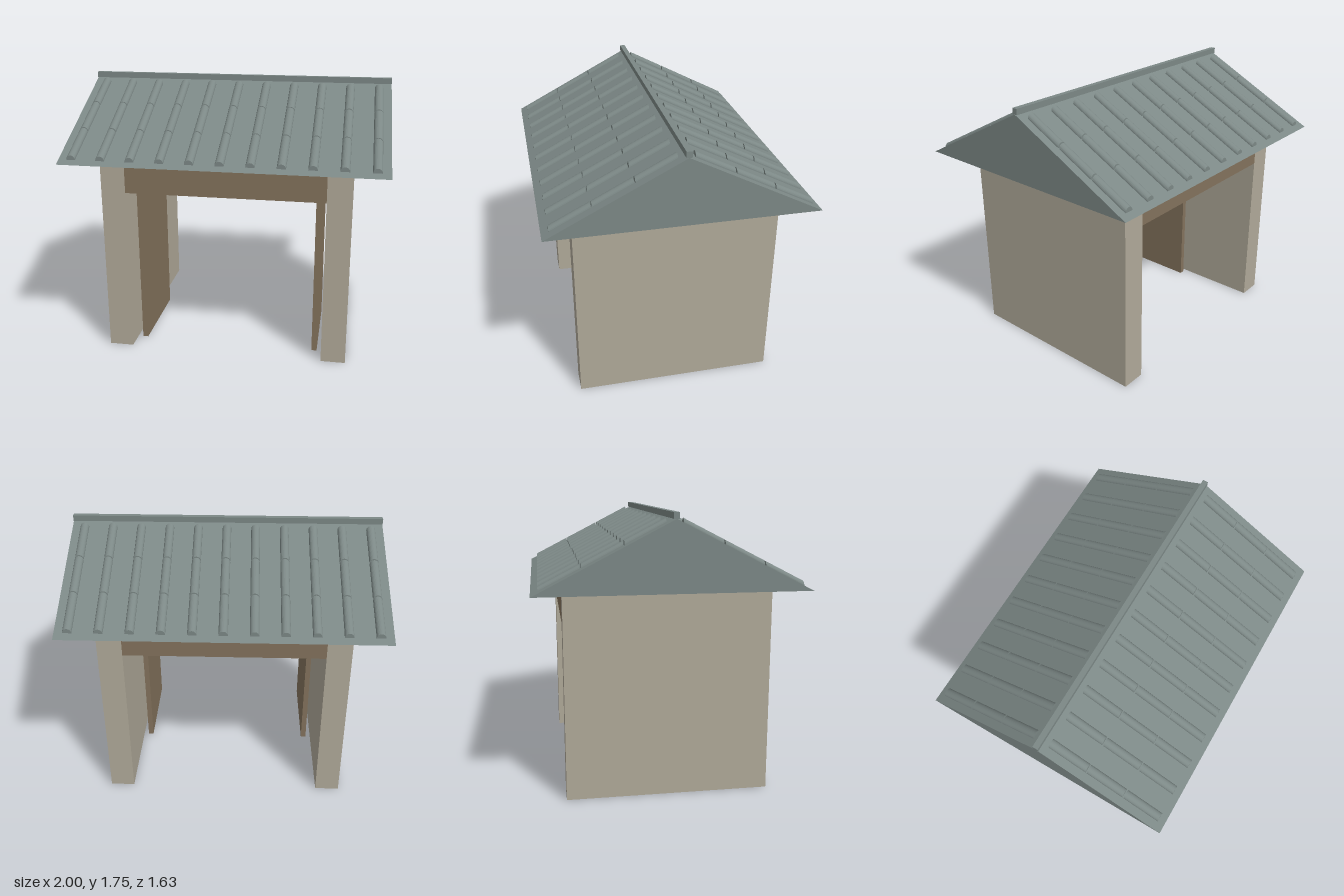
import * as THREE from 'three';

const EAVE = 1.297, APEX = 1.715, HALF_DEPTH = 0.813;
const SLOPE = (APEX - EAVE) / HALF_DEPTH;

const material = (name, color) => {
  const m = new THREE.MeshStandardMaterial({ color });
  m.name = name;
  return m;
};

// Box given by its minimum and maximum corners
function box(name, mat, [x0, y0, z0], [x1, y1, z1]) {
  const mesh = new THREE.Mesh(new THREE.BoxGeometry(x1 - x0, y1 - y0, z1 - z0), mat);
  mesh.position.set((x0 + x1) / 2, (y0 + y1) / 2, (z0 + z1) / 2);
  mesh.name = name;
  return mesh;
}

// Half-round tile, sheared to follow the roof slope with upright ends
function tileGeometry(length) {
  const shape = new THREE.Shape();
  shape.absarc(0, 0, 0.028, 0, Math.PI, false);
  const geo = new THREE.ExtrudeGeometry(shape, { depth: length, bevelEnabled: false, curveSegments: 6 });
  const p = geo.attributes.position;
  for (let i = 0; i < p.count; i++) p.setY(i, p.getY(i) - p.getZ(i) * SLOPE);
  geo.computeVertexNormals();
  return geo;
}

export function createModel() {
  const group = new THREE.Group();
  group.name = 'gatehouse';
  const plaster = material('plaster', 0xb0a999);
  const wood = material('wood', 0x83725c);
  const slate = material('slate', 0x7c8886);

  // Side walls and the open doors standing inside them
  for (const s of [1, -1]) {
    const side = s > 0 ? 'left' : 'right';
    const span = (a, b) => (s > 0 ? [a, b] : [-b, -a]);
    const [w0, w1] = span(0.633, 0.79);
    group.add(box(side + 'Wall', plaster, [w0, 0, -0.633], [w1, EAVE, 0.633]));
    const [d0, d1] = span(0.565, 0.6);
    group.add(box(side + 'Door', wood, [d0, 0, -0.08], [d1, 1.055, 0.505]));
  }

  // Lintels over both openings
  group.add(box('frontLintel', wood, [-0.633, 1.08, 0.476], [0.633, EAVE, 0.633]));
  group.add(box('backLintel', wood, [-0.633, 1.08, -0.633], [0.633, EAVE, -0.476]));

  // Solid gable roof
  const gable = new THREE.Shape();
  gable.moveTo(-HALF_DEPTH, EAVE);
  gable.lineTo(HALF_DEPTH, EAVE);
  gable.lineTo(0, APEX);
  const roofGeo = new THREE.ExtrudeGeometry(gable, { depth: 2, bevelEnabled: false });
  roofGeo.translate(0, 0, -1);
  roofGeo.rotateY(Math.PI / 2);
  const roof = new THREE.Mesh(roofGeo, slate);
  roof.name = 'roof';
  group.add(roof);

  // Ridge cap
  group.add(box('ridgeCap', slate, [-1, APEX, -0.017], [1, 1.752, 0.017]));

  // Rows of tiles, three to a row on each slope
  const tileGeo = tileGeometry(0.235);
  for (const facing of ['front', 'back']) {
    const slopeTiles = new THREE.Group();
    slopeTiles.name = facing + 'Tiles';
    for (let row = -5; row <= 5; row++) {
      for (let k = 0; k < 3; k++) {
        const z = 0.05 + k * 0.2425;
        const tile = new THREE.Mesh(tileGeo, slate);
        tile.name = 'roofTile';
        tile.position.set(row * 0.1842, APEX - z * SLOPE, z);
        slopeTiles.add(tile);
      }
    }
    if (facing === 'back') slopeTiles.rotation.y = Math.PI;
    group.add(slopeTiles);
  }
  return group;
}
